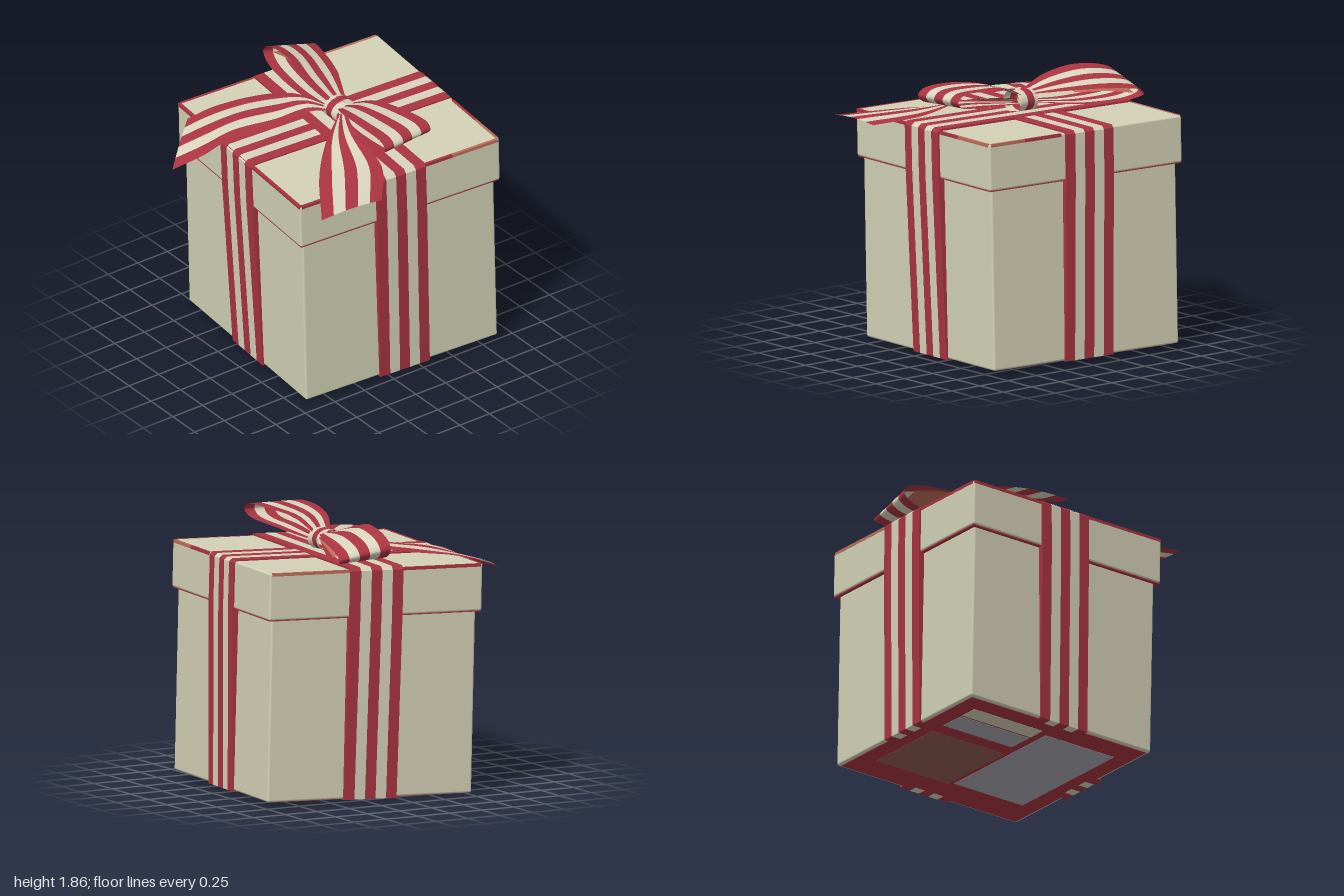
import * as THREE from 'three';
import { RoundedBoxGeometry } from 'three/addons/geometries/RoundedBoxGeometry.js';
import { toCreasedNormals } from 'three/addons/utils/BufferGeometryUtils.js';

const mat = (name, color) => {
  const m = new THREE.MeshStandardMaterial({ color, side: THREE.DoubleSide });
  m.name = name;
  return m;
};

export function createModel() {
  const paper = mat('beige card', 0xd3d1b5);
  const cream = mat('cream stripe', 0xd8d3bc);
  const red = mat('red stripe', 0xa93440);
  const pink = mat('faded red', 0xbc6c5a);
  const grey = mat('grey patch', 0xa9a9b2);
  const brown = mat('brown patch', 0x8f5a50);
  const striped = [red, cream, red, cream, red];

  const model = new THREE.Group();
  model.name = 'giftBox';

  // Striped strip spanned between two edge paths; crown lifts its middle
  function ribbon(name, edgeA, edgeB, { stripes = striped, smooth = true, crown = 0 } = {}) {
    const rail = (pts) => {
      const v = pts.map((p) => new THREE.Vector3(...p));
      return smooth ? new THREE.CatmullRomCurve3(v).getPoints((v.length - 1) * 6) : v;
    };
    const a = rail(edgeA), b = rail(edgeB);
    const per = 2, cols = stripes.length * per, pos = [], idx = [];
    for (let i = 0; i < a.length; i++) {
      const along = Math.min(1, (3 * i) / (a.length - 1));
      for (let j = 0; j <= cols; j++) {
        const p = a[i].clone().lerp(b[i], j / cols);
        pos.push(p.x, p.y + crown * along * Math.sin((Math.PI * j) / cols), p.z);
      }
    }
    let geo = new THREE.BufferGeometry();
    const row = cols + 1;
    stripes.forEach((_, s) => {
      const start = idx.length;
      for (let i = 0; i < a.length - 1; i++) {
        for (let j = s * per; j < (s + 1) * per; j++) {
          const k = i * row + j;
          idx.push(k, k + row, k + 1, k + 1, k + row, k + row + 1);
        }
      }
      geo.addGroup(start, idx.length - start, s);
    });
    geo.setAttribute('position', new THREE.Float32BufferAttribute(pos, 3));
    geo.setIndex(idx);
    geo.computeVertexNormals();
    if (!smooth) geo = toCreasedNormals(geo, 0.5);
    const mesh = new THREE.Mesh(geo, stripes);
    mesh.name = name;
    return mesh;
  }

  // Box, standing slightly turned and tilted
  const box = new THREE.Group();
  box.name = 'box';
  box.position.set(-0.065, 0.025, -0.174);
  box.rotation.set(0.025, -0.088, 0);
  model.add(box);

  function block(name, material, w, h, d, x, y, z, r = 0) {
    const geo = r ? new RoundedBoxGeometry(w, h, d, 3, r) : new THREE.BoxGeometry(w, h, d);
    const mesh = new THREE.Mesh(geo, material);
    mesh.name = name;
    mesh.position.set(x, y, z);
    box.add(mesh);
  }
  const HB = 0.763, HL = 0.795, TOP = 1.58, RIM = 1.255;
  block('body', paper, 2 * HB, 1.4, 2 * HB, 0, 0.7, 0, 0.015);
  block('lid', paper, 2 * HL, TOP - RIM, 2 * HL, 0, (TOP + RIM) / 2, 0, 0.015);
  block('lidRim', red, 2 * HL - 0.012, 0.012, 2 * HL - 0.012, 0, RIM + 0.001, 0);

  // Worn coloured edges along the top of the lid
  const E = HL - 0.009, T = 0.021, Y = TOP - 0.01;
  block('frontEdge', red, 2 * HL - 0.01, T, T, 0, Y, E);
  block('backEdgeRed', red, 0.3, T, T, 0.35, Y, -E);
  block('backEdgePink', pink, 0.28, T, T, 0.64, Y, -E);
  block('rightEdgeFront', red, T, T, 0.78, -E, Y, 0.39);
  block('rightEdgeBack', pink, T, T, 0.78, -E, Y, -0.39);
  block('leftEdgeFront', red, T, T, 1.2, E, Y, 0.18);
  block('leftEdgeBack', pink, T, T, 0.36, E, Y, -0.6);

  // Underside with flat patches, laid out as fractions of the base
  block('base', red, 1.48, 0.006, 1.48, 0, -0.001, 0);
  const patch = (name, material, a0, a1, b0, b1) =>
    block(name, material, 2 * HB * (a1 - a0), 0.004, 2 * HB * (b1 - b0),
      HB * (1 - a0 - a1), -0.004, HB * (b0 + b1 - 1));
  patch('largeGreyPatch', grey, 0.1, 0.48, 0.18, 0.86);
  patch('brownPatch', brown, 0.5, 0.9, 0.16, 0.58);
  patch('smallGreyPatch', grey, 0.52, 0.9, 0.66, 0.79);
  patch('beigePatch', paper, 0.52, 0.9, 0.8, 0.89);

  // Bands pulled straight from the lid to the base, with side walls closing the gap
  function band(name, e, centre, skew0, skew1, place) {
    const edge = (side, depth) => {
      const half = [
        [HB - 0.06, depth - 0.006], [HB + e - depth, depth - 0.006], [HL + e - depth, RIM],
        [HL + e - depth, TOP - 0.01], [HL - 0.012 - depth, TOP + e - depth],
      ];
      const path = [
        ...half.map(([s, y]) => [s, y, skew0]),
        ...half.map(([s, y]) => [-s, y, skew1]).reverse(),
      ];
      return path.map(([s, y, skew]) =>
        place(s, y, centre + side * 0.197 + skew * (1 - Math.max(0, y) / TOP)));
    };
    box.add(ribbon(name, edge(-1, 0), edge(1, 0), { smooth: false }));
    for (const side of [-1, 1]) {
      box.add(ribbon(name + 'Side', edge(side, 0), edge(side, 0.045), { stripes: [red], smooth: false }));
    }
  }
  band('frontBackBand', 0.01, -0.027, 0.045, 0.01, (s, y, t) => [t, y, s]);
  band('sideBand', 0.014, -0.002, -0.015, 0, (s, y, t) => [s, y, t]);

  // Bow
  const bow = new THREE.Group();
  bow.name = 'bow';
  model.add(bow);

  // Right loop leans back: its rear edge lies low, its front edge stands open
  const rearTop = [[-0.12, 1.74, -0.23], [-0.4, 1.75, -0.37], [-0.65, 1.74, -0.45], [-0.84, 1.71, -0.5]];
  const frontTop = [[-0.12, 1.75, -0.1], [-0.35, 1.82, -0.06], [-0.6, 1.86, -0.1], [-0.88, 1.8, -0.13]];
  bow.add(ribbon('rightLoop',
    [...rearTop, [-0.865, 1.68, -0.5], [-0.8, 1.65, -0.47], [-0.5, 1.64, -0.38], [-0.12, 1.68, -0.22]],
    [...frontTop, [-0.92, 1.74, -0.13], [-0.85, 1.68, -0.12], [-0.5, 1.65, -0.09], [-0.12, 1.68, -0.1]]));

  // Faded lining on the underside of the loop
  const below = (pts) => pts.slice(1).map(([x, y, z]) => [x * 0.93, y - 0.012, z]);
  bow.add(ribbon('rightLoopLining', below(rearTop), below(frontTop), { stripes: [pink] }));

  bow.add(ribbon('leftLoop',
    [[-0.02, 1.74, -0.23], [0.15, 1.82, -0.28], [0.4, 1.85, -0.34], [0.63, 1.85, -0.37],
      [0.665, 1.81, -0.37], [0.63, 1.77, -0.36], [0.35, 1.73, -0.32], [-0.02, 1.68, -0.22]],
    [[-0.02, 1.74, -0.09], [0.15, 1.81, -0.01], [0.4, 1.85, 0.03], [0.65, 1.84, 0.03],
      [0.69, 1.8, 0.03], [0.64, 1.75, 0.03], [0.35, 1.72, 0.02], [-0.02, 1.68, -0.09]]));

  bow.add(ribbon('rightTail',
    [[-0.12, 1.69, -0.13], [-0.32, 1.72, -0.03], [-0.49, 1.68, 0.03], [-0.62, 1.65, 0.22],
      [-0.7, 1.62, 0.48], [-0.73, 1.58, 0.65]],
    [[-0.08, 1.69, -0.1], [-0.14, 1.71, 0.05], [-0.2, 1.65, 0.3], [-0.3, 1.61, 0.62],
      [-0.36, 1.52, 0.8], [-0.43, 1.45, 1.0]],
    { crown: 0.02 }));

  bow.add(ribbon('leftTail',
    [[-0.02, 1.71, -0.15], [0.3, 1.72, -0.02], [0.65, 1.65, 0.03], [0.92, 1.59, 0.23]],
    [[-0.02, 1.67, -0.09], [0.15, 1.64, 0.13], [0.45, 1.615, 0.41], [0.87, 1.575, 0.7]],
    { crown: 0.015 }));

  // Knot wrapped around the middle of the bow
  const ring = (x) => Array.from({ length: 13 }, (_, i) => {
    const t = (i / 12) * Math.PI * 2;
    return [x, 1.69 + 0.075 * Math.cos(t), -0.155 + 0.095 * Math.sin(t)];
  });
  bow.add(ribbon('knot', ring(-0.14), ring(0.01),
    { stripes: [cream, red, red, cream, cream], crown: 0.006 }));

  return model;
}
